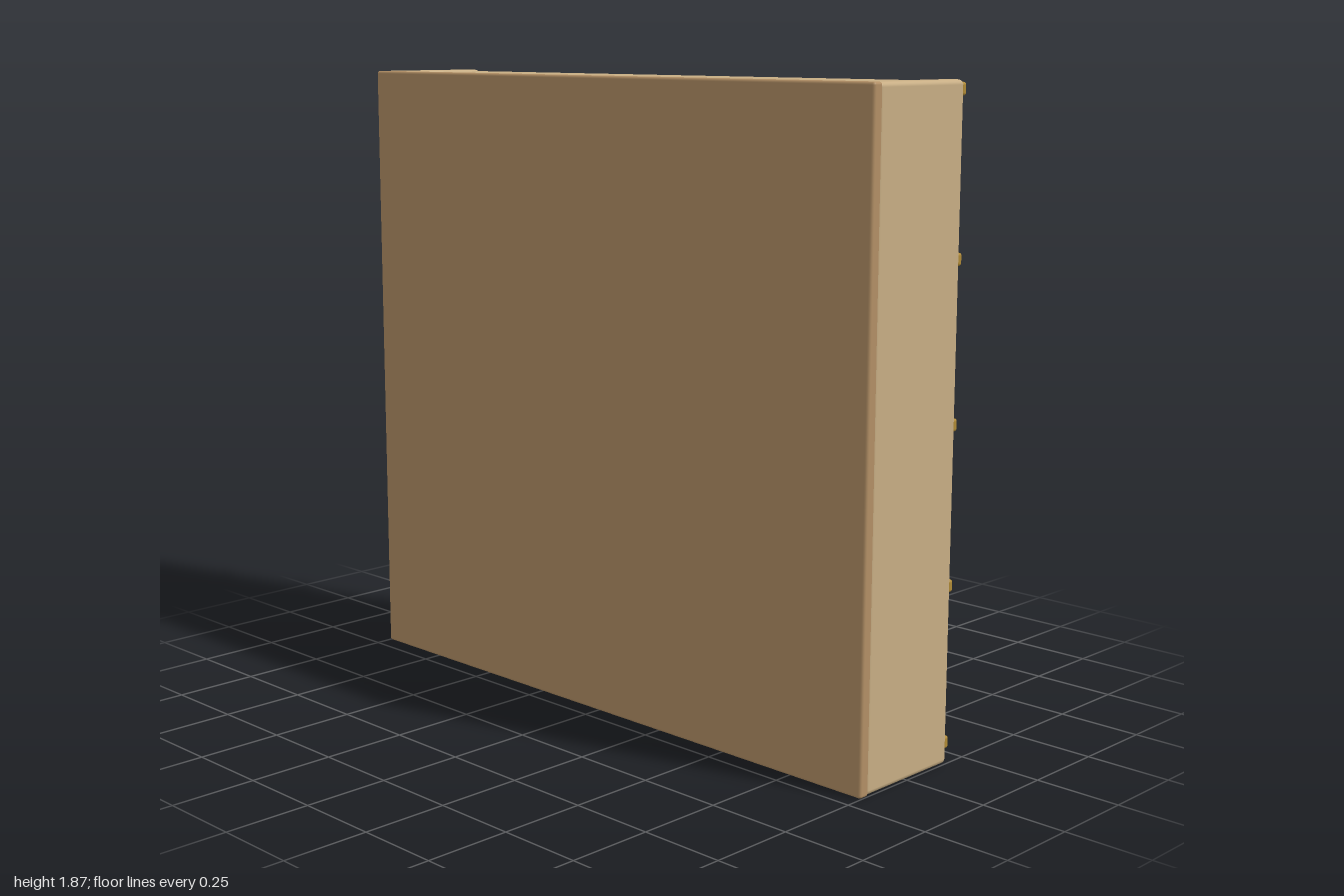
import * as THREE from 'three';
import { RoundedBoxGeometry } from 'three/addons/geometries/RoundedBoxGeometry.js';

const mat = (name, color) => {
  const m = new THREE.MeshStandardMaterial({ color });
  m.name = name;
  return m;
};

export function createModel() {
  const model = new THREE.Group();
  model.name = 'binderShelf';

  const wood = mat('light wood', 0xc8ae84);
  const panelWood = mat('brown wood', 0xb28f65);
  const brass = mat('brass', 0xb08a35);
  const paper = mat('label grey', 0xb4b0a8);
  const binderMats = [
    mat('purple', 0x8062c6), mat('teal', 0x1f9f87), mat('pale grey', 0xcfccc5),
    mat('amber', 0xcb950f), mat('green', 0x2a8a60), mat('red', 0xcf5f55),
  ];

  const add = (parent, name, geometry, material, x, y, z) => {
    const mesh = new THREE.Mesh(geometry, material);
    mesh.name = name;
    mesh.position.set(x, y, z);
    parent.add(mesh);
    return mesh;
  };
  const rounded = (w, h, d, r) => new RoundedBoxGeometry(w, h, d, 2, r);

  // Cabinet: full panel on +z, open side on -z
  const H = 1.87;
  add(model, 'panel', rounded(2, H, 0.035, 0.008), panelWood, 0, H / 2, 0.1825);
  const sideGeo = rounded(0.06, H, 0.355, 0.014);
  for (const s of [1, -1]) {
    add(model, s > 0 ? 'leftSide' : 'rightSide', sideGeo, wood, s * 0.968, H / 2, -0.0025);
  }

  // Shelves with a brass lip along each open edge
  const shelfY = (i) => 0.055 + i * 0.4475;
  const shelfT = 0.04;
  const shelfGeo = new THREE.BoxGeometry(1.89, shelfT, 0.35);
  const lipGeo = rounded(1.98, 0.036, 0.022, 0.008);
  for (let i = 0; i < 5; i++) {
    add(model, 'shelf', shelfGeo, wood, 0, shelfY(i), -0.005);
    add(model, 'shelfLip', lipGeo, brass, 0, shelfY(i), -0.189);
  }

  // Binders: rounded case, raised label plate and a finger-hole stud
  const W = 0.135, BH = 0.3, D = 0.13, front = -0.11;
  const caseGeo = rounded(W, BH, D, 0.014);
  const labelGeo = rounded(0.082, 0.125, 0.009, 0.004);
  const studGeo = new THREE.CylinderGeometry(0.012, 0.012, 0.009, 16).rotateX(Math.PI / 2);
  for (let row = 0; row < 4; row++) {
    const base = shelfY(3 - row) + shelfT / 2;
    for (let i = 0; i < 10; i++) {
      const binder = new THREE.Group();
      binder.name = 'binder';
      binder.position.set(0.765 - i * 0.1805, base, front);
      add(binder, 'binderCase', caseGeo, binderMats[(i + row * 2) % 6], 0, BH / 2, D / 2);
      add(binder, 'binderLabel', labelGeo, paper, 0, 0.158, -0.003);
      add(binder, 'binderStud', studGeo, brass, 0, 0.045, -0.003);
      model.add(binder);
    }
  }
  return model;
}
